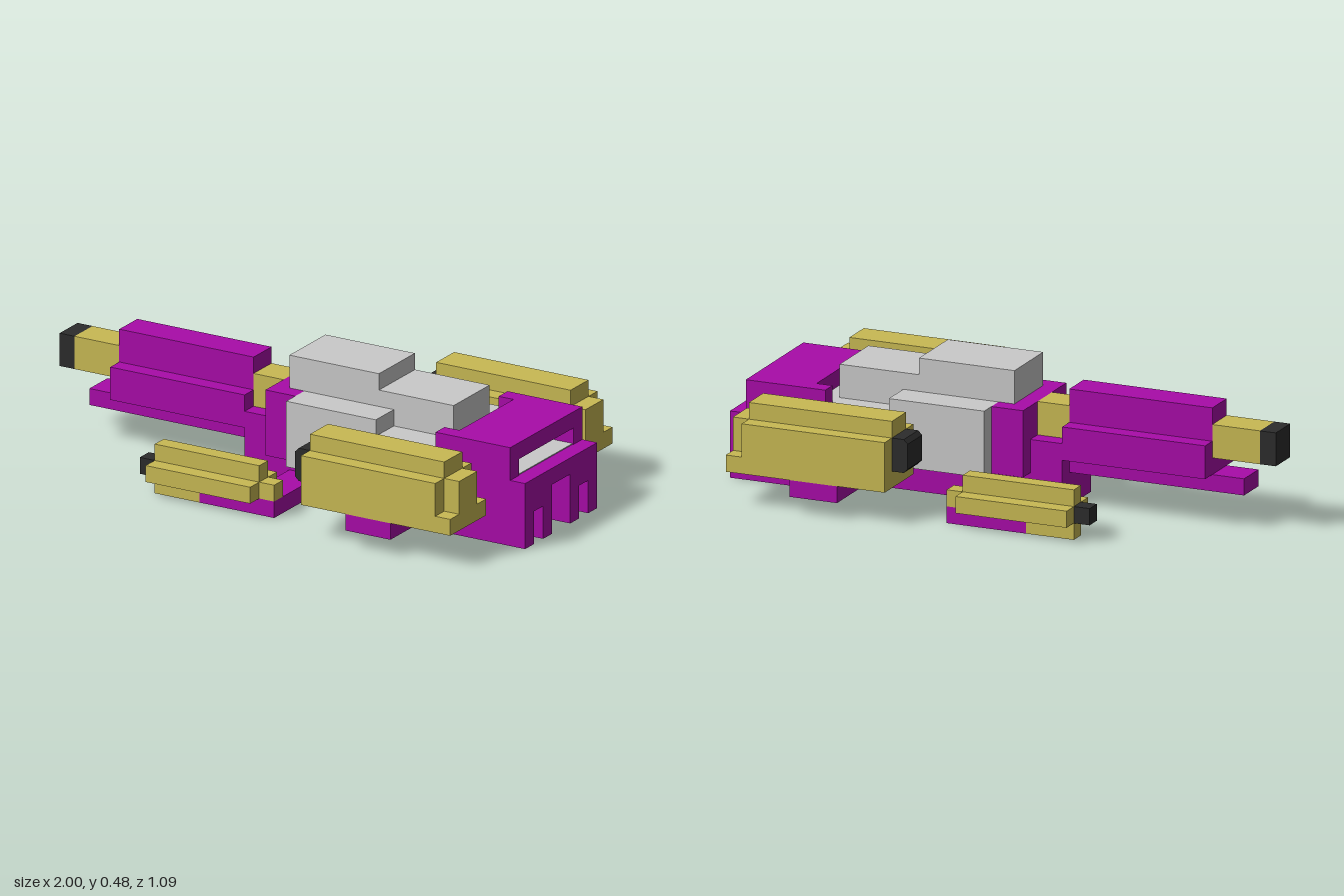
import * as THREE from 'three';

const U = 2 / 33; // one block

const mat = (name, color) => {
  const m = new THREE.MeshStandardMaterial({ color });
  m.name = name;
  return m;
};

export function createModel() {
  const model = new THREE.Group();
  model.name = 'blockSpacecraft';
  const purple = mat('purpleHull', 0xa80ca8);
  const gold = mat('goldPods', 0xc9ba54);
  const grey = mat('greyCabin', 0xcacaca);
  const black = mat('blackMuzzles', 0x2c2c2c);

  // box given in block units; x is counted from the nose
  const box = (parent, name, m, x0, x1, y0, y1, z0, z1) => {
    const g = new THREE.BoxGeometry((x1 - x0) * U, (y1 - y0) * U, (z1 - z0) * U);
    const mesh = new THREE.Mesh(g, m);
    mesh.name = name;
    mesh.position.set((x0 + x1) / 2 * U - 1, (y0 + y1) / 2 * U, (z0 + z1) / 2 * U);
    parent.add(mesh);
    return mesh;
  };
  const mid = (parent, name, m, x0, x1, y0, y1, w) => box(parent, name, m, x0, x1, y0, y1, -w, w);
  const group = (name) => {
    const g = new THREE.Group();
    g.name = name;
    model.add(g);
    return g;
  };

  // nose cannon
  const nose = group('noseCannon');
  mid(nose, 'noseMuzzle', black, 0, 1, 4, 6, 1);
  mid(nose, 'noseBarrel', gold, 1, 4, 4, 6, 1);
  mid(nose, 'noseBeam', purple, 2, 13, 2, 3, 1);
  mid(nose, 'noseCasing', purple, 4, 13, 3, 5, 2);
  mid(nose, 'noseCasingTop', purple, 4, 13, 5, 7, 1);
  mid(nose, 'noseBreech', gold, 13, 15, 4, 6, 1);

  // hull
  const hull = group('hull');
  mid(hull, 'keel', purple, 13, 31, 0, 2, 2);
  mid(hull, 'neck', purple, 13, 15, 2, 4, 2);
  mid(hull, 'collar', purple, 15, 17, 2, 6, 3);

  // cabin
  const cabin = group('cabin');
  mid(cabin, 'cabinFront', grey, 17, 23, 2, 6, 4);
  mid(cabin, 'cabinRear', grey, 23, 27, 2, 5, 4);
  mid(cabin, 'cabinBack', grey, 27, 28, 2, 5, 3);
  mid(cabin, 'cabinRoofHigh', grey, 16, 22, 6, 8, 2);
  mid(cabin, 'cabinRoofLow', grey, 22, 27, 5, 7, 2);

  // tail housing with a window slot and arches below
  const tail = group('tail');
  mid(tail, 'tailRoof', purple, 28, 32, 5, 6, 4);
  mid(tail, 'tailDeck', purple, 28, 33, 3, 4, 4);
  mid(tail, 'tailInner', purple, 28, 31, 2, 3, 1);
  mid(tail, 'windowFloor', grey, 28, 31.95, 4, 4.06, 3);

  for (const s of [1, -1]) {
    const side = group(s > 0 ? 'leftSide' : 'rightSide');
    const sb = (name, m, x0, x1, y0, y1, z0, z1) =>
      box(side, name, m, x0, x1, y0, y1, Math.min(s * z0, s * z1), Math.max(s * z0, s * z1));

    // tail walls and legs
    sb('tailWall', purple, 28, 32, 4, 5, 3, 4);
    sb('tailCheek', purple, 27, 28, 2, 6, 3, 4);
    sb('tailLintel', purple, 28, 33, 2, 3, 1, 4);
    sb('outerLeg', purple, 27, 33, 0, 2, 3, 4);
    sb('innerLeg', purple, 31, 33, 0, 2, 1, 2);

    // small gun on its arm
    sb('gunArm', purple, 16, 18, 0, 1, 2, 6);
    sb('gunArmRail', purple, 13, 18, 0, 1, 6, 7);
    sb('gunKeel', gold, 10, 13, 0, 1, 6, 7);
    sb('gunBody', gold, 10, 17, 1, 2, 5, 8);
    sb('gunRidge', gold, 10, 17, 2, 3, 6, 7);
    sb('gunTip', gold, 17, 18, 1, 2, 6, 7);
    sb('gunMuzzle', black, 9, 10, 1, 2, 6, 7);

    // large pod on its pylon
    sb('pylon', purple, 24, 27, 1, 2, 3, 9);
    sb('podBase', gold, 21, 31, 2, 3, 5, 9);
    sb('podBody', gold, 21, 30, 3, 5, 5, 9);
    sb('podRidge', gold, 21, 30, 5, 6, 6, 8);
    sb('podEnd', gold, 30, 31, 3, 5, 6, 8);

    // pod muzzle with bevelled front edges
    const c = 0.25;
    const outline = [[1, 0], [1, 2], [c, 2], [0, 2 - c], [0, c], [c, 0]];
    const shape = new THREE.Shape(outline.map(([x, y]) => new THREE.Vector2(x * U, y * U)));
    const muzzle = new THREE.Mesh(
      new THREE.ExtrudeGeometry(shape, { depth: 2 * U, bevelEnabled: false }), black);
    muzzle.name = 'podMuzzle';
    muzzle.position.set(20 * U - 1, 3 * U, (s > 0 ? 6 : -8) * U);
    side.add(muzzle);
  }
  return model;
}
